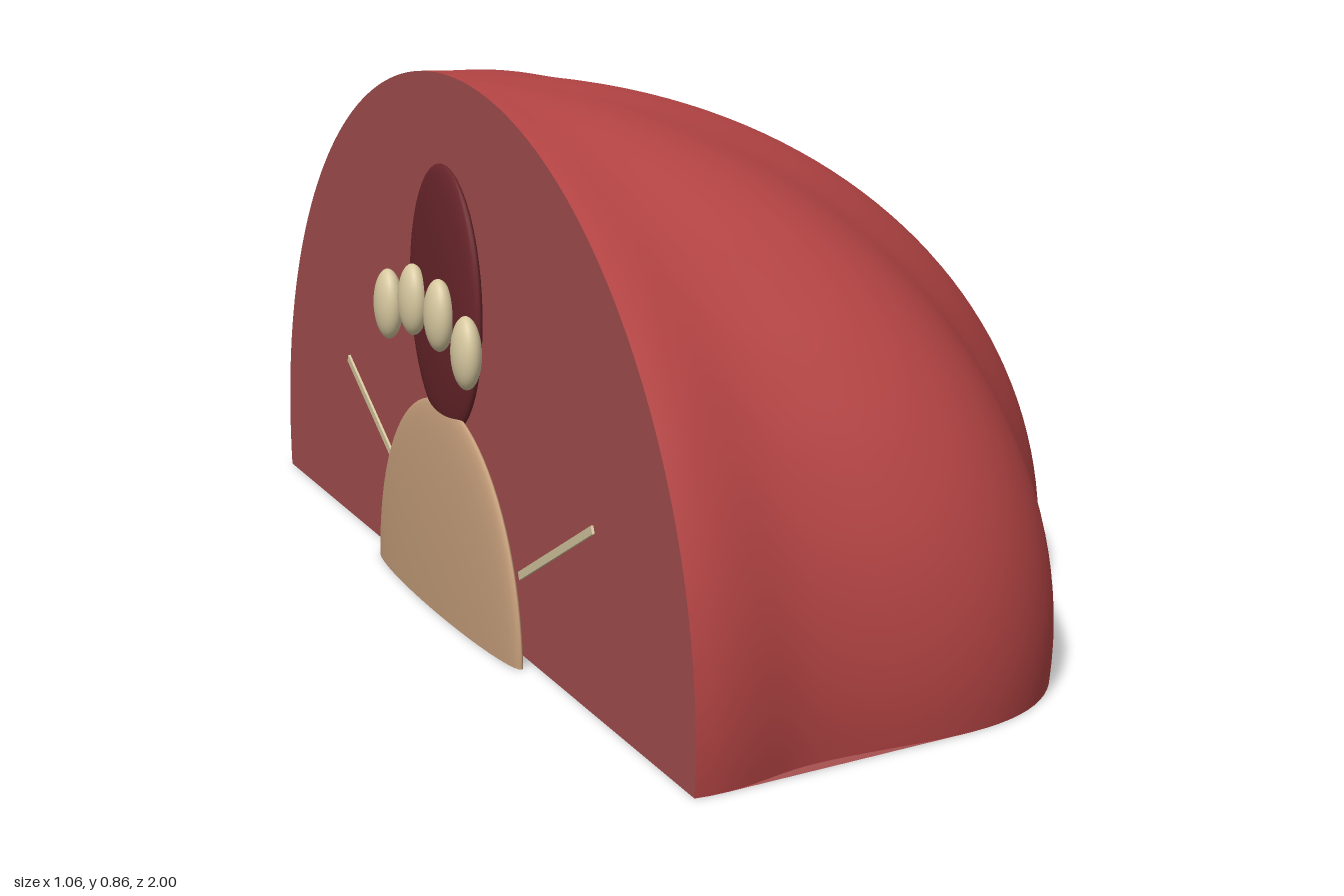
import * as THREE from 'three';

const FACE_X = -0.455;          // plane of the flat cut side
const MID_Y = 0.08, RISE = 0.78; // widest level and height above it

const mat = (name, color, side = THREE.FrontSide) => {
  const m = new THREE.MeshStandardMaterial({ color, side });
  m.name = name;
  return m;
};

// Lobed plan outline: [angle in degrees, radius] at ridges and valleys
const LOBES = [[0, 0.984], [27, 0.918], [55, 1.025], [77, 0.954], [90, 1.0]];
function lobeRadius(angle) {
  const a = Math.min(Math.abs(angle) * 180 / Math.PI, 90);
  let i = 0;
  while (i < LOBES.length - 2 && a > LOBES[i + 1][0]) i++;
  const [a0, r0] = LOBES[i], [a1, r1] = LOBES[i + 1];
  const t = 0.5 - 0.5 * Math.cos(Math.PI * (a - a0) / (a1 - a0));
  return r0 + (r1 - r0) * t;
}

const BOTTOM = Math.PI / 2 + Math.asin(MID_Y / RISE); // polar angle at y = 0

// Lobed half dome, bent from a plane grid
function shellGeometry() {
  const g = new THREE.PlaneGeometry(1, 1, 120, 48);
  const p = g.attributes.position;
  for (let i = 0; i < p.count; i++) {
    const a = -p.getX(i) * Math.PI;
    const polar = (0.5 - p.getY(i)) * BOTTOM;
    const r = lobeRadius(a) * Math.sin(polar);
    p.setXYZ(i, FACE_X + r * Math.cos(a), MID_Y + RISE * Math.cos(polar), r * Math.sin(a));
  }
  g.computeVertexNormals();
  return g;
}

// Flat half-ellipse closing the cut side
function cutFaceGeometry() {
  const pts = [];
  for (let i = 0; i <= 96; i++) {
    const t = (1 - i / 48) * BOTTOM;
    pts.push(new THREE.Vector2(Math.sin(t), MID_Y + RISE * Math.cos(t)));
  }
  return new THREE.ShapeGeometry(new THREE.Shape(pts)).rotateY(-Math.PI / 2).translate(FACE_X, 0, 0);
}

// Underside: the outline with straight chords across the valleys
function baseGeometry() {
  const hull = [];
  for (let i = 0; i <= 120; i++) {
    const a = (i / 120 - 0.5) * Math.PI;
    const r = lobeRadius(a) * Math.sin(BOTTOM);
    const q = new THREE.Vector2(FACE_X + r * Math.cos(a), r * Math.sin(a));
    while (hull.length > 1) {
      const e = hull[hull.length - 1].clone().sub(hull[hull.length - 2]);
      if (e.cross(q.clone().sub(hull[hull.length - 1])) > 0) break;
      hull.pop();
    }
    hull.push(q);
  }
  return new THREE.ShapeGeometry(new THREE.Shape(hull)).rotateX(Math.PI / 2);
}

export function createModel() {
  const group = new THREE.Group();
  const red = mat('shell red', 0xb54444);
  const cut = mat('cut side red', 0xa85050, THREE.DoubleSide);
  const maroon = mat('dark maroon', 0x6a262b);
  const tan = mat('tan', 0xc8a07c, THREE.DoubleSide);
  const cream = mat('cream', 0xd8c9a0);

  const add = (name, geometry, material, x = 0, y = 0, z = 0) => {
    const m = new THREE.Mesh(geometry, material);
    m.name = name;
    m.position.set(x, y, z);
    group.add(m);
    return m;
  };
  const ball = (rx, ry, rz) => new THREE.SphereGeometry(1, 40, 24).scale(rx, ry, rz);

  add('shell', shellGeometry(), red);
  add('cutFace', cutFaceGeometry(), cut);
  add('base', baseGeometry(), cut);

  // Flattened oval and half disc on the cut side
  add('oval', ball(0.024, 0.215, 0.168), maroon, -0.477, 0.51, 0);
  const half = new THREE.SphereGeometry(1, 48, 20, 0, Math.PI * 2, 0, Math.PI / 2);
  add('halfDisc', half.scale(0.026, 0.34, 0.355), tan, -0.481, 0, 0);
  add('halfDiscBase', new THREE.CircleGeometry(1, 48).rotateX(Math.PI / 2).scale(0.026, 1, 0.355),
    tan, -0.481, 0, 0);

  for (const s of [-1, 1]) {
    // Row of small beads, the inner pair slightly higher
    add('innerBead', ball(0.023, 0.058, 0.035), cream, -0.51, 0.498, s * 0.066);
    add('outerBead', ball(0.023, 0.058, 0.035), cream, -0.51, 0.465, s * 0.198);
    // Thin slanted strip beside the half disc
    const strip = add('strip', new THREE.BoxGeometry(0.008, 0.013, 0.36), cream,
      FACE_X, 0.205, s * 0.445);
    strip.rotation.x = -s * Math.atan2(0.145, 0.3);
  }
  return group;
}
